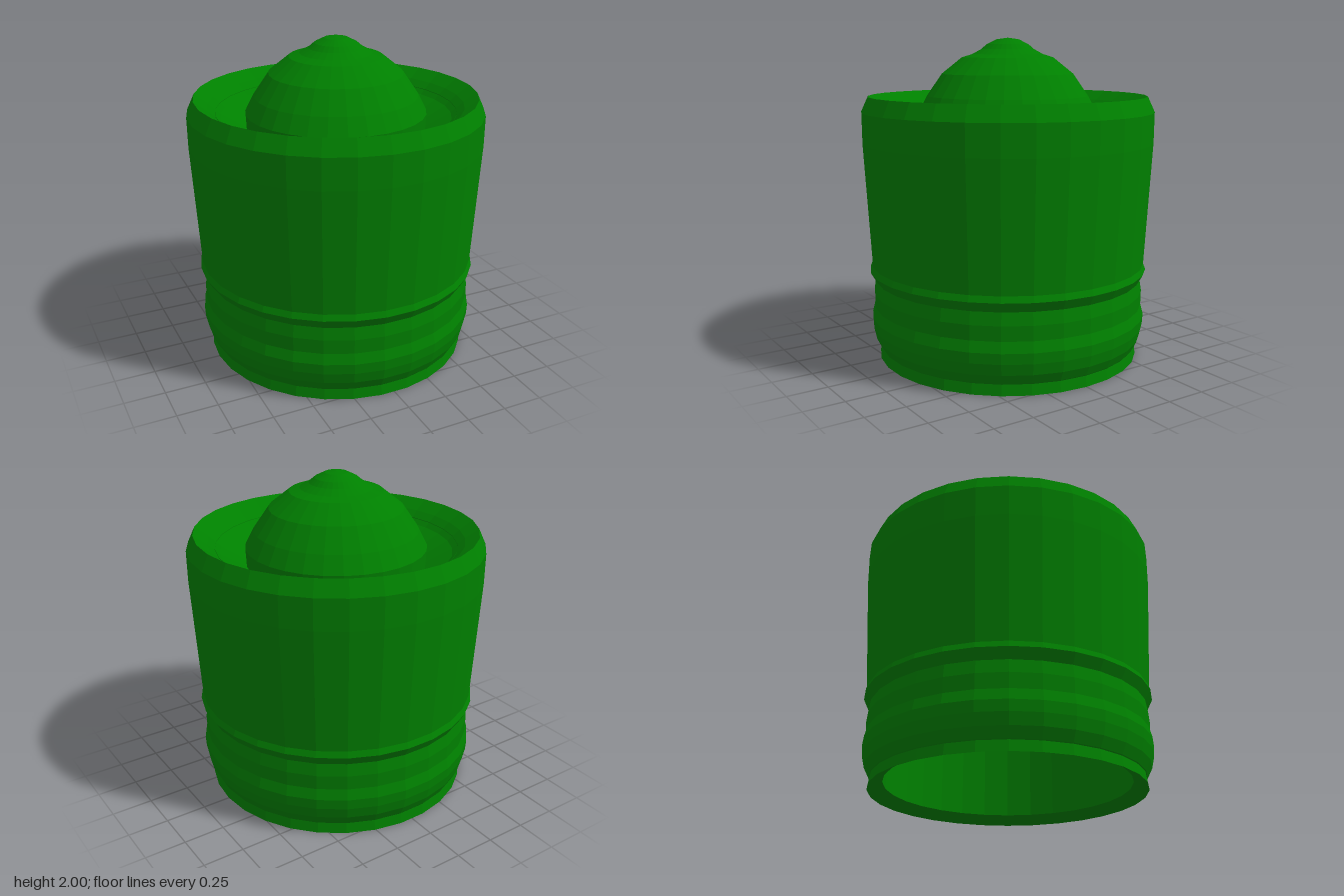
import * as THREE from 'three';

const SIDES = 30;

// Turned part from a profile of [radius, height] points, with a corner on +x
function turned(name, profile, material) {
  const points = profile.map(([r, y]) => new THREE.Vector2(r, y));
  const mesh = new THREE.Mesh(new THREE.LatheGeometry(points, SIDES, Math.PI / 2), material);
  mesh.name = name;
  return mesh;
}

export function createModel() {
  const group = new THREE.Group();
  group.name = 'domedCup';
  const green = new THREE.MeshStandardMaterial({
    color: 0x008000, flatShading: true, side: THREE.DoubleSide,
  });

  // Inner wall of the hollow underside, with the bevelled bottom ring
  group.add(turned('hollowBase', [
    [0.74, 1.55], [0.74, 0.05], [0.828, 0],
  ], green));

  // Outer wall: foot, rounded band, raised ring, flaring body and bevelled rim
  group.add(turned('outerWall', [
    [0.828, 0], [0.818, 0.065], [0.822, 0.07], [0.852, 0.13], [0.868, 0.2], [0.872, 0.265],
    [0.855, 0.33], [0.857, 0.42], [0.845, 0.497],
    [0.88, 0.558], [0.866, 0.595], [0.91, 1.36], [0.912, 1.55], [0.868, 1.645],
  ], green));

  // Sunken channel between the rim and the dome
  group.add(turned('channel', [
    [0.868, 1.645], [0.785, 1.587], [0.71, 1.52], [0.552, 1.43],
  ], green));

  // Thin dome on a short upright wall, with a small rounded tip
  group.add(turned('dome', [
    [0.552, 1.43], [0.557, 1.54], [0.503, 1.645], [0.41, 1.78], [0.285, 1.88],
    [0.22, 1.9], [0.165, 1.93], [0.13, 1.96], [0.07, 1.99], [0, 2],
  ], green));

  return group;
}
